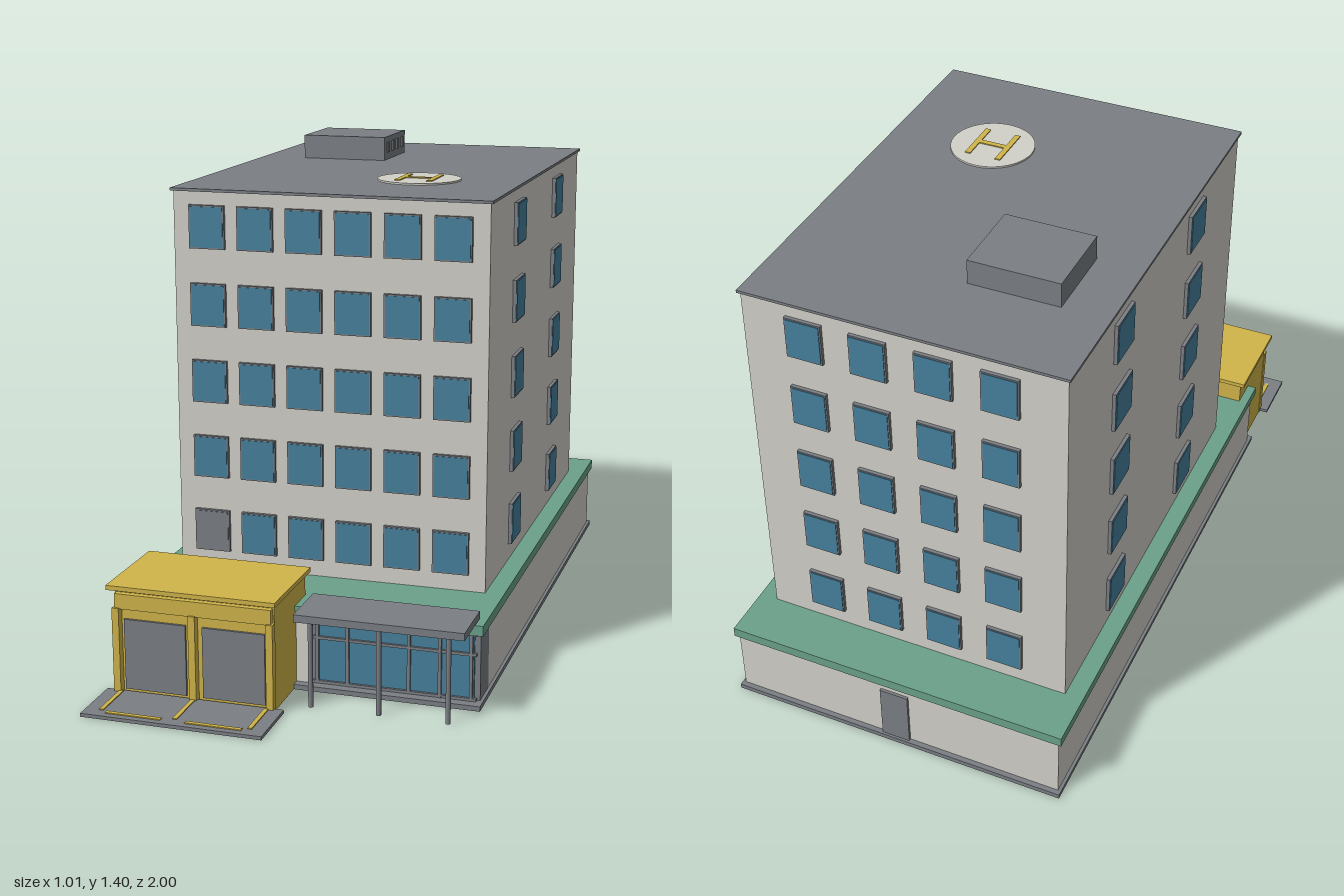
import * as THREE from 'three';

const mat = (name, color) => {
  const m = new THREE.MeshStandardMaterial({ color });
  m.name = name;
  return m;
};

export function createModel() {
  const wall = mat('stone wall', 0xd3d1c9);
  const grey = mat('slate grey', 0x7b7f84);
  const green = mat('green trim', 0x6ba18b);
  const yellow = mat('yellow paint', 0xd1b54a);
  const glass = mat('blue glass', 0x46819d);

  const model = new THREE.Group();
  model.name = 'building';
  const group = (name, parent = model) => {
    const g = new THREE.Group();
    g.name = name;
    parent.add(g);
    return g;
  };
  // Box given by its extents along each axis
  const box = (name, m, [x0, x1], [y0, y1], [z0, z1], parent = model) => {
    const mesh = new THREE.Mesh(new THREE.BoxGeometry(x1 - x0, y1 - y0, z1 - z0), m);
    mesh.position.set((x0 + x1) / 2, (y0 + y1) / 2, (z0 + z1) / 2);
    mesh.name = name;
    parent.add(mesh);
    return mesh;
  };
  const around = (c, w) => [c - w / 2, c + w / 2];

  // Ground floor block
  const podium = group('podium');
  box('plinth', grey, [-0.503, 0.503], [0, 0.014], [-1, 0.665], podium);
  box('podiumWall', wall, [-0.494, 0.494], [0.014, 0.209], [-0.985, 0.53], podium);
  box('podiumFrontWall', wall, [-0.494, 0.02], [0.014, 0.209], [0.53, 0.64], podium);
  box('podiumRoof', green, [-0.505, 0.505], [0.208, 0.237], [-0.994, 0.65], podium);
  box('backDoor', grey, [-0.042, 0.042], [0.014, 0.185], [-0.993, -0.985], podium);

  // Tower and its flat roof
  const tower = group('tower');
  box('towerWall', wall, [-0.452, 0.452], [0.237, 1.325], [-0.842, 0.402], tower);
  box('towerRoof', grey, [-0.459, 0.459], [1.325, 1.333], [-0.85, 0.41], tower);

  // Windows: a frame box with a thin pane, facing +z before turning
  const addWindow = (x, y, z, turn, w, pane = glass) => {
    const g = group('window', tower);
    box('windowFrame', grey, around(0, w), around(0, 0.122), [-0.002, 0.01], g);
    box('windowPane', pane, around(0, w - 0.008), around(0, 0.114), [0.01, 0.012], g);
    g.position.set(x, y, z);
    g.rotation.y = turn;
  };
  for (let row = 0; row < 5; row++) {
    const y = 0.347 + row * 0.22;
    for (let i = 0; i < 6; i++) {
      const blank = row === 0 && i === 0;
      addWindow(-0.3525 + i * 0.141, y, 0.402, 0, 0.104, blank ? grey : glass);
    }
    for (let i = 0; i < 4; i++) addWindow(-0.273 + i * 0.182, y, -0.842, Math.PI, 0.104);
    for (const z of [0.053, -0.49]) {
      for (const s of [-1, 1]) addWindow(s * 0.452, y, z, s * Math.PI / 2, 0.117);
    }
  }

  // Rooftop plant room with vent slats
  const plant = group('plantRoom');
  box('plantRoomBody', grey, [-0.323, -0.063], [1.333, 1.404], [-0.588, -0.355], plant);
  for (let i = 0; i < 4; i++) {
    box('ventSlat', grey, [-0.063, -0.059], [1.355, 1.387], around(-0.55 + i * 0.052, 0.02), plant);
  }

  // Landing pad with painted bars
  const pad = group('landingPad');
  const disc = new THREE.Mesh(new THREE.CylinderGeometry(0.12, 0.12, 0.005, 40), wall);
  disc.position.set(0.16, 1.3355, 0.05);
  disc.name = 'padDisc';
  pad.add(disc);
  for (const x of [0.114, 0.206]) {
    box('padSideBar', yellow, around(x, 0.016), [1.338, 1.341], [-0.02, 0.12], pad);
  }
  box('padCrossBar', yellow, [0.122, 0.198], [1.338, 1.341], [0.042, 0.058], pad);

  // Glazed entrance
  const entry = group('entrance');
  box('entranceBody', grey, [0.02, 0.494], [0.014, 0.209], [0.53, 0.625], entry);
  box('entranceGlass', glass, [0.03, 0.478], [0.022, 0.2], [0.625, 0.63], entry);
  for (let i = 0; i < 6; i++) {
    box('mullion', grey, around(0.037 + i * 0.0866, 0.009), [0.014, 0.208], [0.628, 0.638], entry);
  }
  for (const y of [0.018, 0.147, 0.204]) {
    box('glazingRail', grey, [0.025, 0.485], around(y, 0.008), [0.627, 0.637], entry);
  }

  // Canopy on slim posts
  const canopy = group('canopy');
  box('canopyRoof', grey, [0.016, 0.485], [0.241, 0.262], [0.605, 0.775], canopy);
  for (const x of [0.06, 0.25, 0.44]) {
    const post = new THREE.Mesh(new THREE.CylinderGeometry(0.007, 0.007, 0.242, 12), grey);
    post.position.set(x, 0.121, 0.762);
    post.name = 'canopyPost';
    canopy.add(post);
  }

  // Vehicle bay with two doors
  const bay = group('vehicleBay');
  box('bayBody', yellow, [-0.478, -0.022], [0, 0.303], [0.56, 0.815], bay);
  box('bayRoof', yellow, [-0.492, -0.01], [0.303, 0.316], [0.55, 0.845], bay);
  box('bayFascia', yellow, [-0.474, -0.026], [0.247, 0.29], [0.815, 0.832], bay);
  for (const x of [-0.47, -0.25, -0.03]) {
    box('bayPost', yellow, around(x, 0.02), [0, 0.25], [0.815, 0.838], bay);
  }
  for (const x of [-0.363, -0.137]) {
    box('bayDoor', grey, around(x, 0.178), [0.014, 0.215], [0.815, 0.822], bay);
  }

  // Apron with painted lane lines
  const apron = group('apron');
  box('apronSlab', grey, [-0.505, 0.005], [0, 0.01], [0.825, 1], apron);
  for (const x of [-0.46, -0.25, -0.04]) {
    box('laneLine', yellow, around(x, 0.012), [0.01, 0.013], [0.835, 0.965], apron);
  }
  for (const x of [-0.363, -0.137]) {
    box('stopLine', yellow, around(x, 0.158), [0.01, 0.013], [0.97, 0.982], apron);
  }

  return model;
}
